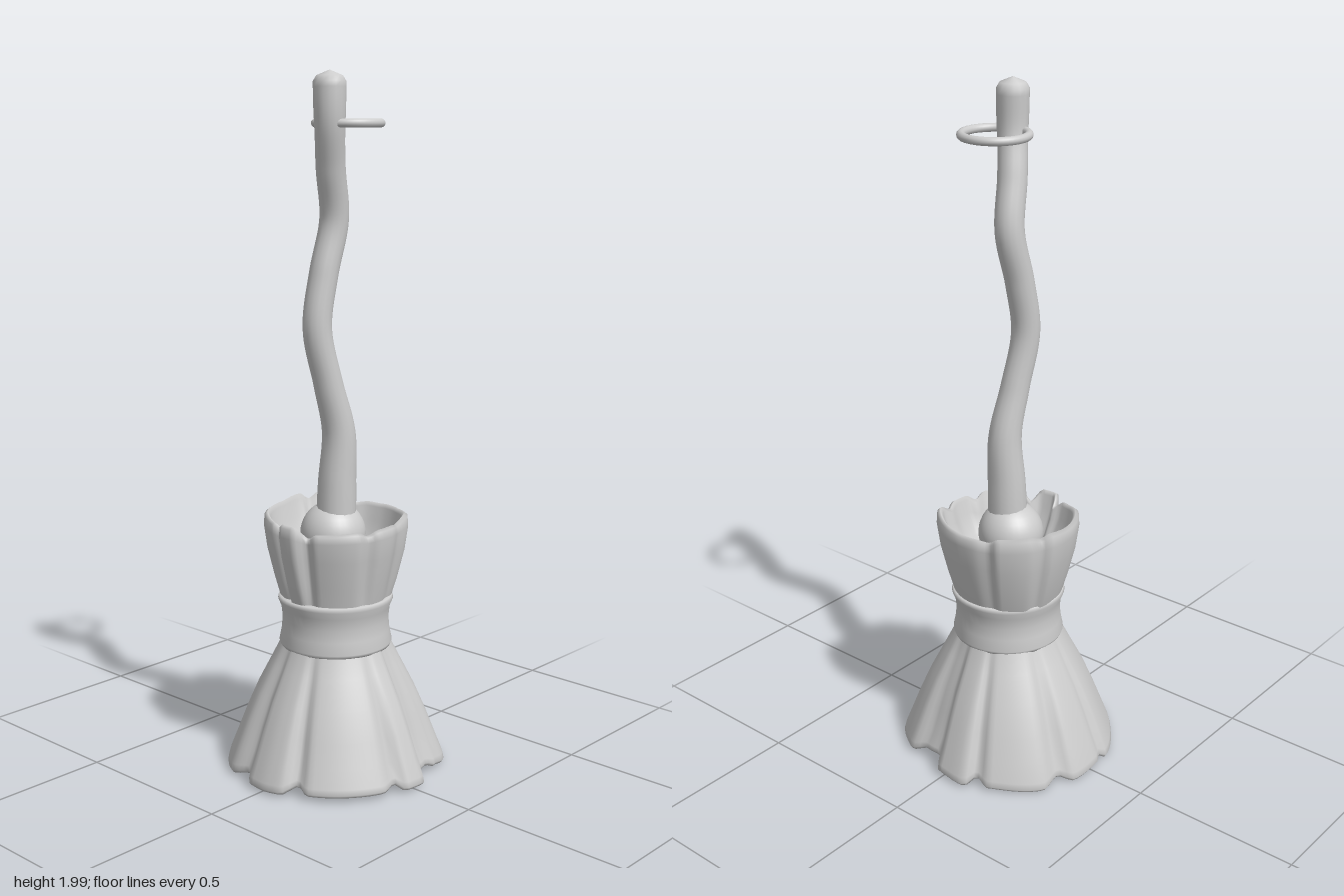
import * as THREE from 'three';
import { mergeVertices } from 'three/addons/utils/BufferGeometryUtils.js';

const TAU = Math.PI * 2;
const material = new THREE.MeshStandardMaterial({ color: 0xcccccc, side: THREE.DoubleSide });

// Pleated outlines as [x, z] points around the axis
const skirtOutline = [
  [0.31, 0.01], [0.27, 0.045], [0.262, 0.1], [0.27, 0.16], [0.2, 0.25], [0.13, 0.272], [0.1, 0.265],
  [0.05, 0.28], [0.035, 0.315], [-0.04, 0.312], [-0.06, 0.282], [-0.11, 0.285], [-0.2, 0.23],
  [-0.27, 0.14], [-0.262, 0.1], [-0.307, 0.065], [-0.317, 0.01], [-0.312, -0.045], [-0.282, -0.075],
  [-0.28, -0.155], [-0.2, -0.245], [-0.08, -0.317], [-0.06, -0.305], [-0.03, -0.32], [0.075, -0.318],
  [0.11, -0.28], [0.175, -0.277], [0.278, -0.15], [0.272, -0.105], [0.31, -0.085],
];
const tuftOutline = [
  [0.198, 0], [0.195, 0.045], [0.18, 0.09], [0.12, 0.17], [0.07, 0.175], [0.03, 0.192], [-0.02, 0.192],
  [-0.05, 0.172], [-0.09, 0.17], [-0.168, 0.08], [-0.165, 0.045], [-0.2, 0.02], [-0.2, -0.03],
  [-0.17, -0.045], [-0.178, -0.08], [-0.13, -0.16], [-0.03, -0.205], [0.06, -0.207], [0.075, -0.188],
  [0.12, -0.18], [0.18, -0.11], [0.178, -0.075], [0.195, -0.035],
];

// Radius of an outline at a given angle, relative to its mean radius
function pleatFunction(outline, mean) {
  const polar = outline
    .map(([x, z]) => [(Math.atan2(z, x) + TAU) % TAU, Math.hypot(x, z) / mean])
    .sort((a, b) => a[0] - b[0]);
  const last = polar[polar.length - 1];
  const ring = [[last[0] - TAU, last[1]], ...polar, [polar[0][0] + TAU, polar[0][1]]];
  return (angle) => {
    const i = Math.max(1, ring.findIndex((p) => p[0] >= angle));
    const [a0, r0] = ring[i - 1];
    const [a1, r1] = ring[i];
    return THREE.MathUtils.lerp(r0, r1, THREE.MathUtils.smoothstep(angle, a0, a1));
  };
}

// Skin of rings; each row is [y, radius, pleat strength, rim height change]
function pleatedShell(rows, pleat) {
  const n = 128;
  const positions = [];
  const index = [];
  rows.forEach(([y, radius, strength, lift], row) => {
    for (let i = 0; i < n; i++) {
      const angle = (i / n) * TAU;
      const k = pleat(angle) - 1;
      const r = radius * (1 + strength * k);
      positions.push(r * Math.cos(angle), y + lift * k, r * Math.sin(angle));
      if (row === 0) continue;
      const a = (row - 1) * n + i;
      const b = (row - 1) * n + ((i + 1) % n);
      index.push(a, a + n, b, b, a + n, b + n);
    }
  });
  const geometry = new THREE.BufferGeometry();
  geometry.setAttribute('position', new THREE.Float32BufferAttribute(positions, 3));
  geometry.setIndex(index);
  geometry.computeVertexNormals();
  return geometry;
}

// Crooked stick: a tube with varying thickness and a rounded tip
function handleGeometry() {
  const curve = new THREE.CatmullRomCurve3([
    [0, 0.68, 0], [0.003, 0.85, 0.003], [0.004, 1.0, 0.008], [-0.03, 1.14, 0], [-0.062, 1.3, -0.012],
    [-0.038, 1.45, -0.01], [-0.004, 1.6, -0.002], [-0.035, 1.74, 0.014], [-0.06, 1.86, 0.034],
    [-0.062, 2.0, 0.035],
  ].map((p) => new THREE.Vector3(...p)));
  const segments = 90;
  const sides = 16;
  const tube = new THREE.TubeGeometry(curve, segments, 1, sides);
  const position = tube.attributes.position;
  const v = new THREE.Vector3();
  for (let i = 0; i <= segments; i++) {
    const centre = curve.getPointAt(i / segments);
    let radius = 0.041 + 0.016 * (1 - THREE.MathUtils.smoothstep(centre.y, 0.75, 1.2));
    radius += 0.004 * THREE.MathUtils.smoothstep(centre.y, 1.8, 1.95);
    if (i === segments) radius = 0.0001;
    if (i === segments - 1) radius *= 0.8;
    for (let j = 0; j <= sides; j++) {
      const id = i * (sides + 1) + j;
      v.fromBufferAttribute(position, id).sub(centre).multiplyScalar(radius).add(centre);
      position.setXYZ(id, v.x, v.y, v.z);
    }
  }
  tube.deleteAttribute('uv');
  tube.deleteAttribute('normal');
  const geometry = mergeVertices(tube, 1e-5);
  geometry.computeVertexNormals();
  return geometry;
}

export function createModel() {
  const group = new THREE.Group();
  const add = (name, geometry, x = 0, y = 0, z = 0) => {
    const mesh = new THREE.Mesh(geometry, material);
    mesh.name = name;
    mesh.position.set(x, y, z);
    group.add(mesh);
    return mesh;
  };

  add('handle', handleGeometry());
  add('handleKnob', new THREE.SphereGeometry(0.095, 32, 20), 0, 0.7, -0.01);

  // Hanging ring threaded at the top of the handle
  add('hangingRing', new THREE.TorusGeometry(0.09, 0.012, 12, 48), 0.018, 1.86, 0.03).rotation.x = Math.PI / 2;

  // Lower bristles: outer face, rolled hem, hollow inside
  const skirtPleat = pleatFunction(skirtOutline, 0.3);
  add('bristleSkirt', pleatedShell([
    [0.43, 0.14, 0.1, 0], [0.38, 0.157, 0.3, 0], [0.32, 0.184, 0.55, 0], [0.24, 0.221, 0.75, 0],
    [0.16, 0.252, 0.9, 0], [0.09, 0.277, 1, -0.04], [0.045, 0.296, 1, -0.14], [0.03, 0.3, 1, -0.18],
    [0.022, 0.295, 1, -0.18], [0.026, 0.28, 1, -0.16], [0.09, 0.255, 1, -0.04], [0.16, 0.23, 0.9, 0],
    [0.24, 0.2, 0.7, 0], [0.32, 0.16, 0.4, 0], [0.37, 0.1, 0.2, 0], [0.38, 0.0001, 0, 0],
  ], skirtPleat));

  // Upper bristles: flared cup around the knob
  const tuftPleat = pleatFunction(tuftOutline, 0.192);
  add('bristleTuft', pleatedShell([
    [0.6, 0.0001, 0, 0], [0.6, 0.1, 0.2, 0], [0.64, 0.14, 0.6, 0], [0.7, 0.165, 1, 0.1],
    [0.738, 0.174, 1, 0.2], [0.748, 0.182, 1, 0.22], [0.742, 0.191, 1, 0.2], [0.72, 0.193, 1, 0.1],
    [0.66, 0.184, 1, 0], [0.58, 0.167, 0.9, 0], [0.52, 0.154, 0.6, 0], [0.46, 0.14, 0.1, 0],
  ], tuftPleat));

  // Binding band, pinched in the middle
  const bandProfile = [
    [0.14, 0.375], [0.16, 0.375], [0.164, 0.385], [0.157, 0.42], [0.154, 0.455], [0.158, 0.49],
    [0.167, 0.512], [0.164, 0.524], [0.14, 0.524],
  ].map(([r, y]) => new THREE.Vector2(r, y));
  add('bindingBand', new THREE.LatheGeometry(bandProfile, 48));

  return group;
}
